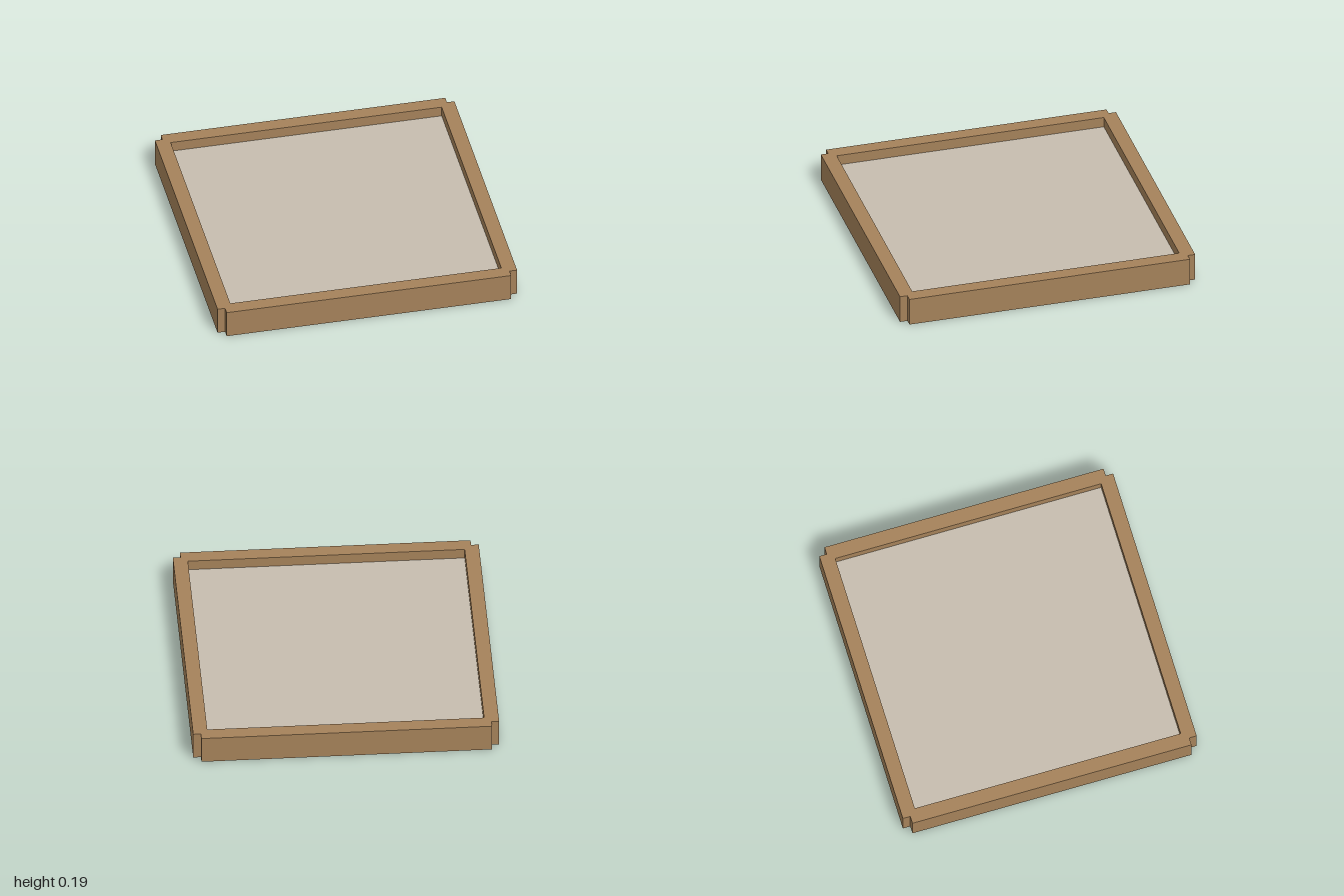
import * as THREE from 'three';

const wood = new THREE.MeshStandardMaterial({ color: 0xa5825a });
wood.name = 'wood';
const stone = new THREE.MeshStandardMaterial({ color: 0xc6bdaf });
stone.name = 'pale panel';

const OUTER = 1, NOTCH = 0.95, INNER = 0.905, HEIGHT = 0.19, PANEL = 0.12;

export function createModel() {
  const model = new THREE.Group();
  model.name = 'tray';

  // Square frame with a small notch at each outer corner
  const outline = [];
  for (let i = 0; i < 4; i++) {
    const corner = [[OUTER, NOTCH], [NOTCH, NOTCH], [NOTCH, OUTER]];
    for (const [x, y] of corner) {
      outline.push(new THREE.Vector2(x, y).rotateAround(new THREE.Vector2(), i * Math.PI / 2));
    }
  }
  const shape = new THREE.Shape(outline);
  shape.holes.push(new THREE.Path([
    new THREE.Vector2(-INNER, -INNER), new THREE.Vector2(-INNER, INNER),
    new THREE.Vector2(INNER, INNER), new THREE.Vector2(INNER, -INNER),
  ]));
  const frameGeometry = new THREE.ExtrudeGeometry(shape, { depth: HEIGHT, bevelEnabled: false });
  frameGeometry.rotateX(-Math.PI / 2);
  const frame = new THREE.Mesh(frameGeometry, wood);
  frame.name = 'frame';
  model.add(frame);

  // Panel set inside the frame, flush underneath and sunk on top
  const panel = new THREE.Mesh(new THREE.BoxGeometry(2 * INNER, PANEL, 2 * INNER), stone);
  panel.name = 'panel';
  panel.position.y = PANEL / 2;
  model.add(panel);

  return model;
}
